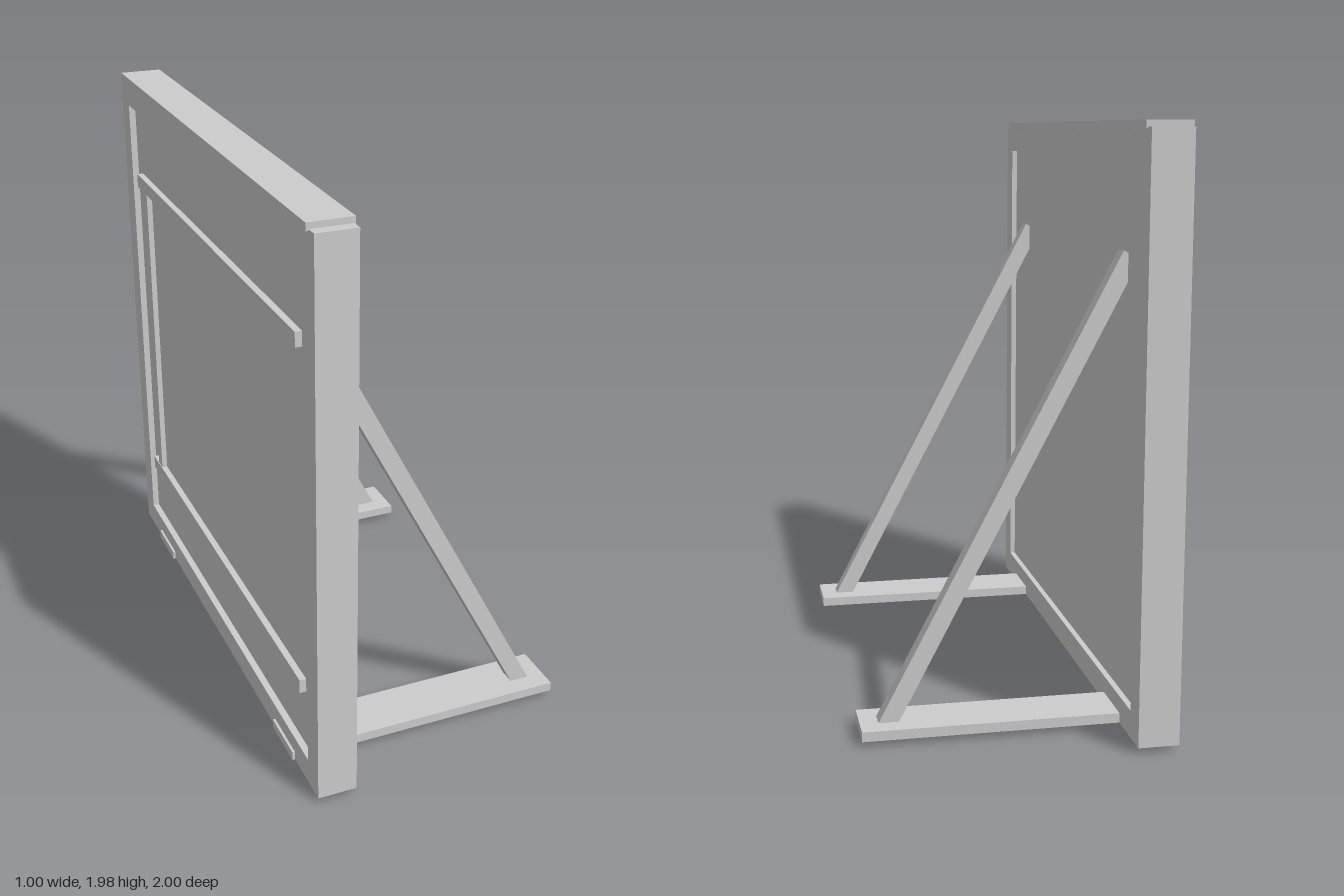
import * as THREE from 'three';

export function createModel() {
  const model = new THREE.Group();
  model.name = 'bracedWallPanel';
  const grey = new THREE.MeshStandardMaterial({ color: 0xcccccc });
  grey.name = 'light grey';

  const add = (name, geometry) => {
    const mesh = new THREE.Mesh(geometry, grey);
    mesh.name = name;
    model.add(mesh);
    return mesh;
  };

  // Box given by its limits on each axis
  const block = (name, [x0, x1], [y0, y1], [z0, z1]) => {
    const mesh = add(name, new THREE.BoxGeometry(x1 - x0, y1 - y0, z1 - z0));
    mesh.position.set((x0 + x1) / 2, (y0 + y1) / 2, (z0 + z1) / 2);
    return mesh;
  };

  const rectangle = (PathType, z, y0, y1) => new PathType([
    new THREE.Vector2(-z, y0), new THREE.Vector2(z, y0),
    new THREE.Vector2(z, y1), new THREE.Vector2(-z, y1),
  ]);

  // Outer frame with a rectangular opening
  const outline = rectangle(THREE.Shape, 1, 0.02, 1.96);
  outline.holes.push(rectangle(THREE.Path, 0.91, 0.11, 1.865));
  const frame = new THREE.ExtrudeGeometry(outline, { depth: 0.136, bevelEnabled: false });
  frame.rotateY(-Math.PI / 2);
  frame.translate(-0.355, 0, 0);
  add('frame', frame);

  // Recessed infill and the cap along the top
  block('infillPanel', [-0.467, -0.375], [0.1, 1.875], [-0.92, 0.92]);
  block('topCap', [-0.5, -0.35], [1.955, 1.98], [-0.96, 0.96]);

  // Rails and single stile in the recess of the far face
  for (const y of [0.33, 1.56]) block('rail', [-0.49, -0.46], [y, y + 0.05], [-0.85, 0.84]);
  block('stile', [-0.487, -0.46], [0.38, 1.56], [-0.79, -0.74]);

  // Feet and sloping braces, one pair near each end
  const top = new THREE.Vector2(-0.387, 1.561);
  const bottom = new THREE.Vector2(0.425, 0.014);
  const run = bottom.clone().sub(top);
  for (const side of [-1, 1]) {
    const z = side * 0.693;
    block('foot', [-0.5, 0.5], [0.019, 0.052], [z - 0.095, z + 0.095]);
    const brace = add('brace', new THREE.BoxGeometry(run.length(), 0.06, 0.06));
    brace.position.set((top.x + bottom.x) / 2, (top.y + bottom.y) / 2, z);
    brace.rotation.z = run.angle();
  }

  return model;
}
